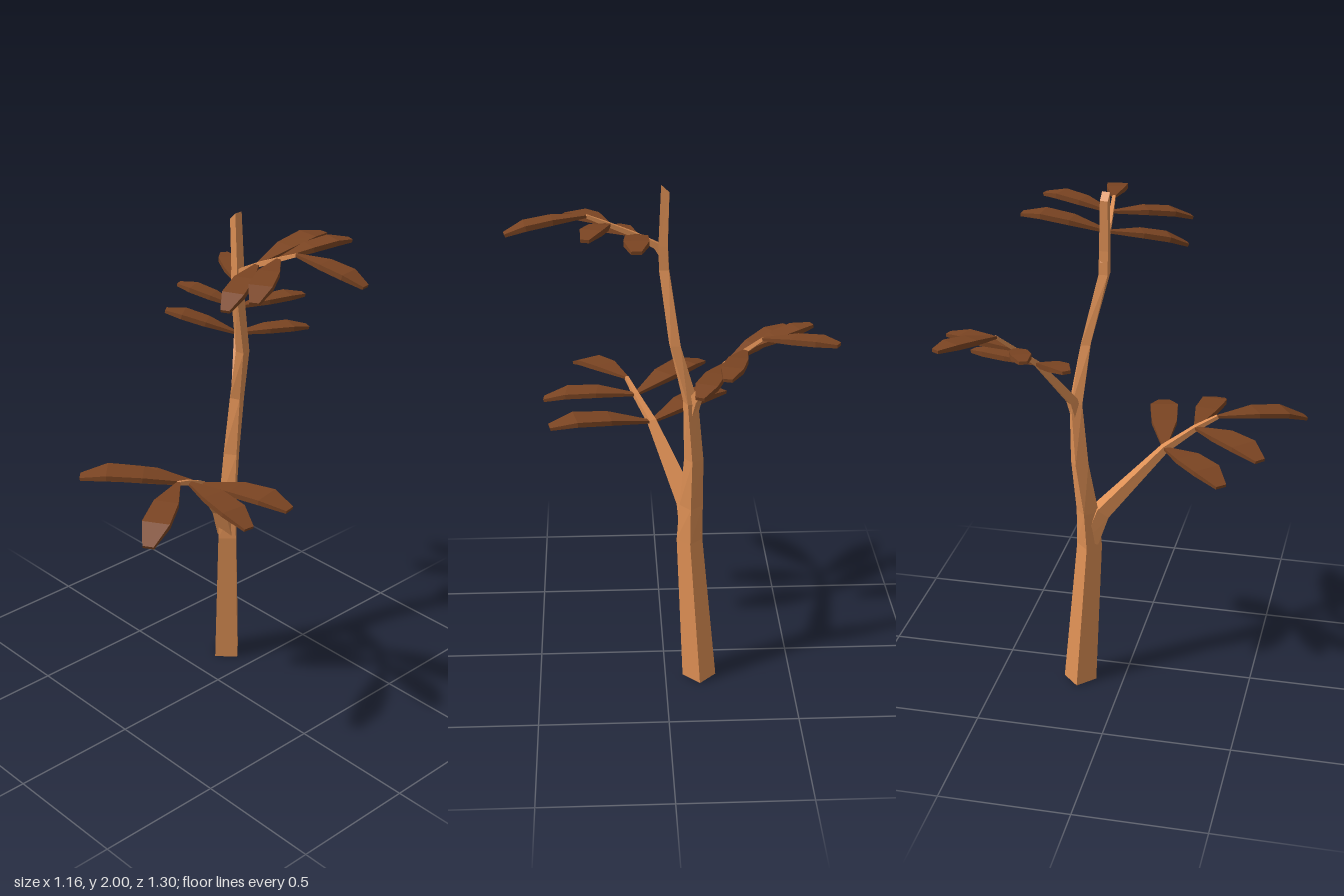
import * as THREE from 'three';

const bark = new THREE.MeshStandardMaterial({ color: 0xdd8f54, flatShading: true });
bark.name = 'bark';
const foliage = new THREE.MeshStandardMaterial({ color: 0x7a4422, flatShading: true });
foliage.name = 'foliage';

const V = (p) => new THREE.Vector3(...p);
const square = (w, h) => [w * Math.SQRT2, h * Math.SQRT2, Math.PI / 4];

// Four-sided loft along a path; each section is [width radius, height radius, turn].
// A fixed frame (side, up) keeps every ring parallel; otherwise rings follow the path.
function loft(path, sections, frame) {
  const pts = path.map(V);
  const last = pts.length - 1;
  const run = pts[last].clone().sub(pts[0]);
  const flat = new THREE.Vector3(-run.z, 0, run.x).normalize();
  const rings = pts.map((p, i) => {
    const t = pts[Math.min(i + 1, last)].clone().sub(pts[Math.max(i - 1, 0)]).normalize();
    const [side, up] = frame ?? [flat, new THREE.Vector3().crossVectors(t, flat).normalize()];
    const [w, h, turn] = sections[i];
    return [0, 1, 2, 3].map((k) => {
      const a = turn + k * Math.PI / 2;
      return p.clone().addScaledVector(side, w * Math.cos(a)).addScaledVector(up, h * Math.sin(a));
    });
  });
  const pos = [];
  const tri = (...c) => c.forEach((v) => pos.push(v.x, v.y, v.z));
  for (let i = 0; i < last; i++) {
    for (let k = 0; k < 4; k++) {
      const n = (k + 1) % 4;
      const [a, b, c, d] = [rings[i][k], rings[i][n], rings[i + 1][n], rings[i + 1][k]];
      tri(a, b, c);
      tri(a, c, d);
    }
  }
  const [s, e] = [rings[0], rings[last]];
  tri(s[0], s[2], s[1]); tri(s[0], s[3], s[2]);
  tri(e[0], e[1], e[2]); tri(e[0], e[2], e[3]);
  const geo = new THREE.BufferGeometry();
  geo.setAttribute('position', new THREE.Float32BufferAttribute(pos, 3));
  geo.computeVertexNormals();
  return geo;
}

function add(group, name, geo, mat) {
  const mesh = new THREE.Mesh(geo, mat);
  mesh.name = name;
  group.add(mesh);
}

// Arched leaf from its stalk to its tip
function leaf(from, to, arch) {
  const length = V(from).distanceTo(V(to));
  const at = (t, lift) => {
    const p = V(from).lerp(V(to), t);
    p.y += lift * length;
    return p.toArray();
  };
  const w = length * 0.135;
  return loft(
    [from, at(0.42, arch * 0.9), at(0.75, arch), to],
    [square(0.007, 0.005), square(w * 0.9, 0.01), square(w, 0.01), square(w * 0.4, 0.006)]);
}

// Each branch: path, half widths, leaf arch, and leaves as [path index, tip]
const branches = [
  {
    name: 'frontBranch',
    path: [[-0.098, 0.62, -0.14], [-0.083, 0.745, -0.095], [0.04, 0.98, 0.13], [0.1, 1.05, 0.24], [0.135, 1.09, 0.32]],
    widths: [0.03, 0.029, 0.014, 0.01, 0.007],
    arch: 0.065,
    leaves: [
      [2, [-0.26, 0.99, 0.4]], [2, [0.44, 1.0, 0.05]],
      [3, [-0.18, 1.07, 0.53]], [3, [0.465, 1.02, 0.28]],
      [4, [0.335, 1.03, 0.64]],
    ],
  },
  {
    name: 'backBranch',
    path: [[-0.094, 1.14, -0.182], [-0.112, 1.22, -0.198], [-0.215, 1.4, -0.3], [-0.275, 1.475, -0.365], [-0.33, 1.54, -0.42]],
    widths: [0.017, 0.017, 0.011, 0.008, 0.006],
    arch: 0.035,
    leaves: [
      [2, [-0.445, 1.475, -0.13]], [2, [-0.1, 1.385, -0.58]],
      [3, [-0.52, 1.53, -0.265]], [3, [-0.19, 1.48, -0.645]],
      [4, [-0.575, 1.57, -0.565]],
    ],
  },
  {
    name: 'topBranch',
    path: [[-0.002, 1.73, -0.094], [0.03, 1.78, -0.096], [0.1, 1.82, -0.102], [0.2, 1.865, -0.112], [0.28, 1.9, -0.12]],
    widths: [0.014, 0.012, 0.009, 0.008, 0.006],
    arch: 0.055,
    leaves: [
      [2, [0.11, 1.865, -0.435]], [2, [0.225, 1.75, 0.175]],
      [3, [0.285, 1.895, -0.39]], [3, [0.36, 1.815, 0.165]],
      [4, [0.57, 1.85, -0.165]],
    ],
  },
];

export function createModel() {
  const tree = new THREE.Group();
  tree.name = 'tree';

  // Trunk: x, y, z, radius and twist per ring
  const trunk = [
    [-0.135, 0, -0.175, 0.066, 0], [-0.095, 0.6, -0.14, 0.05, 0], [-0.1, 0.75, -0.145, 0.045, -0.08],
    [-0.107, 0.96, -0.172, 0.037, -0.2], [-0.093, 1.2, -0.187, 0.03, -0.4], [-0.035, 1.42, -0.16, 0.026, -0.65],
    [0.002, 1.69, -0.095, 0.025, -0.85], [0.005, 1.78, -0.094, 0.024, -0.85], [-0.003, 1.985, -0.09, 0.021, -0.85],
  ];
  const frame = [new THREE.Vector3(1, 0, 0), new THREE.Vector3(0, 0, -1)];
  const trunkGeo = loft(trunk.map((r) => r.slice(0, 3)), trunk.map((r) => [r[3], r[3], r[4]]), frame);
  // Slant the cut at the top
  const p = trunkGeo.attributes.position;
  for (let i = 0; i < p.count; i++) {
    if (p.getY(i) > 1.95) p.setY(i, 1.985 + (p.getX(i) + 0.003) * 0.9);
  }
  trunkGeo.computeVertexNormals();
  add(tree, 'trunk', trunkGeo, bark);

  for (const b of branches) {
    const group = new THREE.Group();
    group.name = b.name;
    add(group, 'branchWood', loft(b.path, b.widths.map((w) => square(w, w))), bark);
    b.leaves.forEach(([i, tip]) => add(group, 'leaf', leaf(b.path[i], tip, b.arch), foliage));
    tree.add(group);
  }
  return tree;
}
